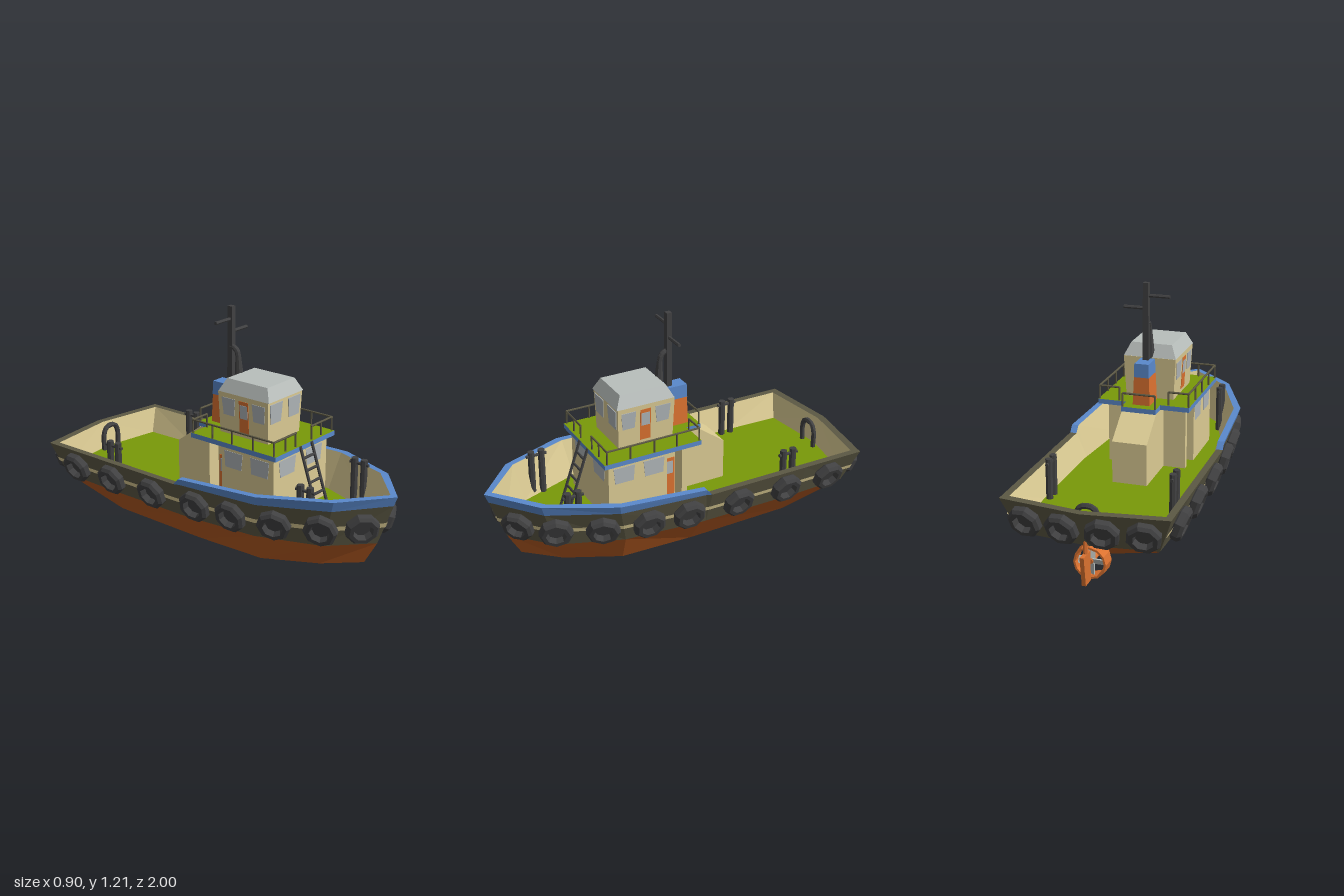
import * as THREE from 'three';

const mat = (name, color) => new THREE.MeshStandardMaterial({ name, color, flatShading: true, side: THREE.DoubleSide });
const M = {
  hull: mat('dark olive', 0x5c5844), bottom: mat('rust brown', 0xb45a22), blue: mat('trim blue', 0x5a89cc),
  cream: mat('cream', 0xdccc94), deck: mat('deck green', 0x799909), black: mat('rubber black', 0x414142),
  roof: mat('roof grey', 0xb9bfbc), glass: mat('glass grey', 0xafb5b8), orange: mat('orange', 0xdc7230),
};
const V = (x, y, z) => new THREE.Vector3(x, y, z);

// Half-hull stations from bow to stern: rail x y z, band height, waterline x z, chine x y z, keel height.
// The remaining edges follow by sliding down the topside and insetting for the bulwark thickness.
const WATERLINE = .2, DECK = .25;
const stations = [
  [0, .465, 1, .415, 0, .9, 0, .078, .83, .078],
  [.23, .458, .8, .405, .19, .72, .13, .067, .66, .048],
  [.38, .442, .46, .395, .31, .4, .23, .045, .38, .005],
  [.41, .42, 0, .387, .35, 0, .24, .042, 0, .005],
  [.41, .386, -.03, .386, .35, -.03, .24, .042, -.03, .005],
  [.41, .386, -.58, .386, .35, -.58, .23, .042, -.57, .005],
  [.41, .386, -.92, .386, .34, -.86, .34, .2, -.86, .2],
  [0, .386, -.975, .386, 0, -.9, 0, .2, -.9, .2],
].map(([xr, yr, zr, yb, xw, zw, xc, yc, zc, yk]) => {
  const rail = V(xr, yr, zr), water = V(xw, WATERLINE, zw);
  const down = y => rail.clone().lerp(water, (yr - y) / (yr - WATERLINE));
  return {
    rail, water, band: down(yb), chine: V(xc, yc, zc), keel: V(0, yk, zc),
    innerRail: rail.clone().multiply(V(.915, 1, .96)), deckEdge: down(DECK).multiply(V(.91, 1, .985)),
  };
});

function named(name, geometry, material, x = 0, y = 0, z = 0) {
  const m = new THREE.Mesh(geometry, material);
  m.name = name;
  m.position.set(x, y, z);
  return m;
}

// Mirrored surface between two polylines
function strip(name, material, a, b) {
  const pos = [];
  for (const side of [1, -1]) for (let i = 0; i + 1 < a.length; i++) {
    const q = [a[i], b[i], b[i + 1], a[i], b[i + 1], a[i + 1]];
    if (side < 0) q.reverse();
    q.forEach(p => pos.push(p.x * side, p.y, p.z));
  }
  const g = new THREE.BufferGeometry();
  g.setAttribute('position', new THREE.Float32BufferAttribute(pos, 3));
  g.computeVertexNormals();
  return named(name, g, material);
}

// Box standing on its base with a differently sized top
function frustum(w0, d0, w1, d1, h) {
  const g = new THREE.BoxGeometry(1, h, 1).translate(0, h / 2, 0), p = g.attributes.position;
  for (let i = 0; i < p.count; i++) {
    const top = p.getY(i) > h / 2;
    p.setX(i, p.getX(i) * (top ? w1 : w0));
    p.setZ(i, p.getZ(i) * (top ? d1 : d0));
  }
  g.computeVertexNormals();
  return g;
}

// Round bar between two points
function bar(name, material, a, b, r, r2 = r, sides = 6) {
  const d = b.clone().sub(a);
  const m = named(name, new THREE.CylinderGeometry(r2, r, d.length(), sides), material);
  m.position.copy(a).add(b).multiplyScalar(.5);
  m.quaternion.setFromUnitVectors(V(0, 1, 0), d.normalize());
  return m;
}

// Side profile given as z, y pairs, extruded across the boat
function sideProfile(name, material, points, width) {
  const shape = new THREE.Shape(points.map(p => new THREE.Vector2(...p)));
  const g = new THREE.ExtrudeGeometry(shape, { depth: width, bevelEnabled: false });
  return named(name, g.translate(0, 0, -width / 2).rotateY(-Math.PI / 2), material);
}

// Point and outward normal on the topsides: segment i, fraction u along, v up from the waterline
function topside(i, u, v) {
  const s = stations[i], t = stations[i + 1];
  const low = s.water.clone().lerp(t.water, u), high = s.band.clone().lerp(t.band, u);
  const along = t.band.clone().add(t.water).sub(s.band).sub(s.water);
  const normal = along.cross(high.clone().sub(low)).normalize();
  return { point: low.lerp(high, v), normal };
}

export function createModel() {
  const model = new THREE.Group();
  model.name = 'tugboat';
  const add = (...m) => model.add(...m);
  const line = (edge, from = 0, to = 8) => stations.slice(from, to).map(s => s[edge]);

  // Hull, bulwarks and deck
  add(strip('blueBand', M.blue, line('rail', 0, 5), line('band', 0, 5)),
    strip('topsides', M.hull, line('band'), line('water')),
    strip('lowerHull', M.bottom, line('water'), line('chine')),
    strip('hullBottom', M.bottom, line('chine'), line('keel')),
    strip('forwardRailCap', M.blue, line('innerRail', 0, 5), line('rail', 0, 5)),
    strip('aftRailCap', M.hull, line('innerRail', 4), line('rail', 4)),
    strip('innerBulwark', M.cream, line('deckEdge'), line('innerRail')),
    strip('mainDeck', M.deck, line('deckEdge').map(p => V(0, p.y, p.z)), line('deckEdge')));

  // Cream rubbing stripe along both sides
  const stripeEdge = v => [0, 1, 2, 3, 4, 5, 6].map(i => {
    const { point, normal } = topside(Math.min(i, 5), i === 6 ? 1 : 0, v);
    return point.addScaledVector(normal, .005);
  });
  add(strip('rubbingStripe', M.cream, stripeEdge(.57), stripeEdge(.45)));

  // Tyre fenders
  const tyre = new THREE.LatheGeometry([[.045, 0], [.07, 0], [.084, .014], [.084, .042], [.07, .056], [.05, .056], [.042, .025], [0, .025]]
    .map(p => new THREE.Vector2(...p)), 8).rotateY(Math.PI / 8).translate(0, -.007, 0);
  const spots = [[0, .42], [1, .08], [1, .72], [2, .3], [2, .8], [4, .29], [4, .8], [5, .48], [6, .25], [6, .75]];
  for (const [i, u] of spots) for (const s of [1, -1]) {
    const { point, normal } = topside(i, u, .52);
    const m = named('tyreFender', tyre, M.black, point.x * s, point.y, point.z);
    m.quaternion.setFromUnitVectors(V(0, 1, 0), V(normal.x * s, normal.y, normal.z));
    add(m);
  }

  // Lower deckhouse with door alcoves and sloping aft casing
  add(named('deckhouse', frustum(.43, .32, .43, .32, .325), M.cream, 0, DECK, .28),
    named('alcoveCore', frustum(.27, .1, .27, .1, .325), M.cream, 0, DECK, .075),
    named('alcoveAftWall', frustum(.41, .03, .41, .03, .325), M.cream, 0, DECK, .015),
    sideProfile('aftCasing', M.cream, [[.01, DECK], [.01, .575], [-.13, .575], [-.28, .465], [-.28, DECK]], .18));

  // Upper deck, green on top with blue edges
  const slab = [M.blue, M.blue, M.deck, M.blue, M.blue, M.blue];
  add(named('upperDeck', new THREE.BoxGeometry(.48, .025, .53), slab, 0, .588, .205),
    named('upperDeckAft', new THREE.BoxGeometry(.18, .025, .08), slab, 0, .588, -.1));

  // Wheelhouse and roof
  add(named('wheelhouse', frustum(.25, .3, .275, .31, .215), M.cream, -.004, .6, .188),
    named('wheelhouseRoof', frustum(.275, .315, .215, .25, .065), M.roof, -.004, .815, .192));

  // Windows and doors
  const pane = (name, m, w0, w1, h, x, y, z, turn, tilt = 0) => {
    const p = named(name, frustum(w0, .008, w1, .008, h), m, x, y, z);
    p.rotation.set(tilt, turn, 0, 'YXZ');
    add(p);
  };
  for (const s of [1, -1]) {
    pane('wheelhouseFrontWindow', M.glass, .078, .098, .1, -.004 + s * .072, .7, .34, 0, .03);
    pane('deckhouseFrontWindow', M.glass, .11, .135, .085, s * .108, .465, .438, 0);
    const turn = s * Math.PI / 2, x = -.004 + s * .1295;
    pane('wheelhouseSideWindow', M.glass, .065, .08, .09, x, .7, .285, turn, .055);
    pane('wheelhouseSideWindow', M.glass, .065, .085, .09, x, .7, .098, turn, .055);
    pane('wheelhouseDoor', M.orange, .058, .058, .17, -.004 + s * .1245, .62, .193, turn, .055);
    pane('doorWindow', M.glass, .046, .046, .07, x + s * .001, .7, .193, turn, .055);
    pane('deckhouseSideWindow', M.glass, .1, .115, .085, s * .213, .465, .355, turn);
    pane('deckhouseSideWindow', M.glass, .1, .115, .085, s * .213, .465, .192, turn);
    pane('alcoveDoor', M.orange, .056, .056, .23, s * .135, DECK, .065, turn);
    pane('alcoveDoorWindow', M.glass, .04, .04, .07, s * .137, .392, .065, turn);
  }

  // Upper deck railings
  const rail = (pts, posts) => {
    for (let i = 0; i + 1 < pts.length; i++) add(bar('railing', M.hull, V(pts[i][0], .67, pts[i][1]), V(pts[i + 1][0], .67, pts[i + 1][1]), .0055));
    for (const [x, z] of posts) add(bar('railPost', M.hull, V(x, .6, z), V(x, .67, z), .005));
  };
  for (const s of [1, -1]) rail([[s * .06, .455], [s * .235, .455], [s * .235, -.05], [s * .13, -.05]],
    [[.065, .455], [.145, .455], [.235, .455], [.235, .33], [.235, .2], [.235, .075], [.235, -.05], [.13, -.05]].map(([x, z]) => [s * x, z]));
  rail([[-.085, -.132], [.085, -.132]], [[-.085, -.132], [.085, -.132]]);

  // Ladder from foredeck to upper deck
  const foot = V(0, DECK, .59), head = V(0, .6, .47);
  for (const s of [1, -1]) add(bar('ladderRail', M.black, foot.clone().setX(s * .046), head.clone().setX(s * .046), .008));
  for (let i = 1; i <= 5; i++) {
    const p = foot.clone().lerp(head, i / 6);
    add(bar('ladderRung', M.black, p.clone().setX(-.046), p.clone().setX(.046), .007));
  }

  // Funnel, mast and exhaust
  add(named('funnel', frustum(.09, .12, .078, .113, .145), M.orange, 0, .6, -.032),
    named('funnelTop', frustum(.078, .113, .074, .108, .07), M.blue, 0, .745, -.034),
    named('mast', frustum(.03, .03, .028, .028, .43), M.black, .002, .78, -.001),
    bar('upperSpar', M.black, V(0, 1.145, 0), V(-.12, 1.145, 0), .009),
    bar('lowerSpar', M.black, V(0, 1.08, 0), V(.12, 1.08, 0), .009),
    bar('exhaustPipe', M.black, V(0, .8, .055), V(0, .96, .045), .028, .014, 8));
  const elbow = new THREE.CatmullRomCurve3([V(0, .955, .045), V(0, .985, .038), V(0, 1.002, .018), V(0, 1.005, -.004)]);
  add(named('exhaustElbow', new THREE.TubeGeometry(elbow, 6, .014, 8), M.black));

  // Mooring bollards and towing arch
  for (const s of [1, -1]) for (const [x, z, top] of [[.31, -.535, .455], [.225, .635, .495]]) {
    for (const dz of [-.028, .028]) add(bar('bollardPost', M.black, V(s * x, DECK, z + dz), V(s * x, top, z + dz), .018, .018, 8));
    add(bar('bollardBar', M.black, V(s * x, top - .025, z - .055), V(s * x, top - .025, z + .055), .009));
  }
  const arch = new THREE.CatmullRomCurve3([[-.052, DECK], [-.052, .34], [-.03, .378], [.03, .378], [.052, .34], [.052, DECK]].map(([x, y]) => V(x, y, -.875)));
  add(named('towingArch', new THREE.TubeGeometry(arch, 16, .014, 6), M.black));

  // Propeller shaft, nozzle, propeller and rudder
  add(bar('shaftHousing', M.bottom, V(0, .085, -.54), V(0, .09, -.72), .05, .02, 8),
    bar('propellerShaft', M.orange, V(0, .09, -.62), V(0, .09, -.84), .016, .012, 8));
  const nozzle = new THREE.LatheGeometry([[.07, -.035], [.084, -.035], [.08, .035], [.07, .035], [.07, -.035]]
    .map(p => new THREE.Vector2(...p)), 12).rotateX(-Math.PI / 2);
  add(named('propellerNozzle', nozzle, M.orange, 0, .088, -.82),
    bar('nozzleStrut', M.orange, V(0, .16, -.82), V(0, .24, -.82), .012));
  for (let i = 0; i < 4; i++) {
    const blade = new THREE.BoxGeometry(.036, .056, .006).translate(0, .036, 0).rotateY(.5).rotateZ(i * Math.PI / 2);
    add(named('propellerBlade', blade, M.roof, 0, .088, -.825));
  }
  add(sideProfile('rudder', M.orange, [[-.865, .01], [-.865, .16], [-.952, .16], [-.93, .01]], .02),
    bar('rudderStock', M.orange, V(0, .15, -.9), V(0, .24, -.9), .011));
  return model;
}
